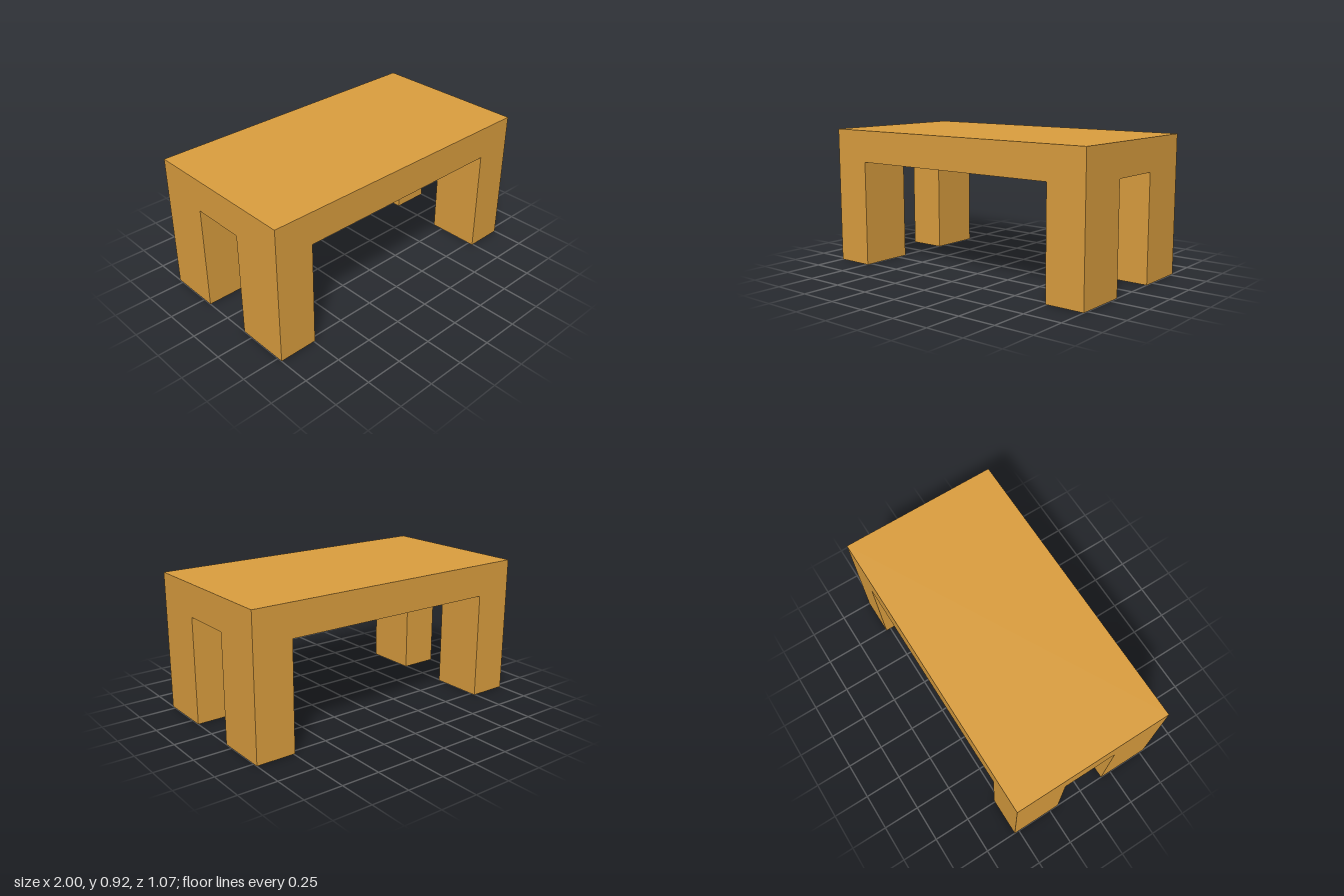
import * as THREE from 'three';

export function createModel() {
  const table = new THREE.Group();
  table.name = 'table';
  const wood = new THREE.MeshStandardMaterial({ color: 0xdc9f3f, flatShading: true });

  // Adds a box spanning the given ranges
  function addBox(name, [x0, x1], [y0, y1], [z0, z1]) {
    const mesh = new THREE.Mesh(new THREE.BoxGeometry(x1 - x0, y1 - y0, z1 - z0), wood);
    mesh.position.set((x0 + x1) / 2, (y0 + y1) / 2, (z0 + z1) / 2);
    mesh.name = name;
    table.add(mesh);
  }

  const halfDepth = 0.533, underside = 0.703, height = 0.915, legInner = 0.742;

  // Thick slab top
  addBox('tableTop', [-1, 1], [underside, height], [-halfDepth, halfDepth]);

  // Four corner legs, the front pair slightly deeper than the back pair
  for (const [side, xRange] of [['Left', [legInner, 1]], ['Right', [-1, -legInner]]]) {
    addBox(`front${side}Leg`, xRange, [0, underside], [0.175, halfDepth]);
    addBox(`back${side}Leg`, xRange, [0, underside], [-halfDepth, -0.185]);
  }

  return table;
}
